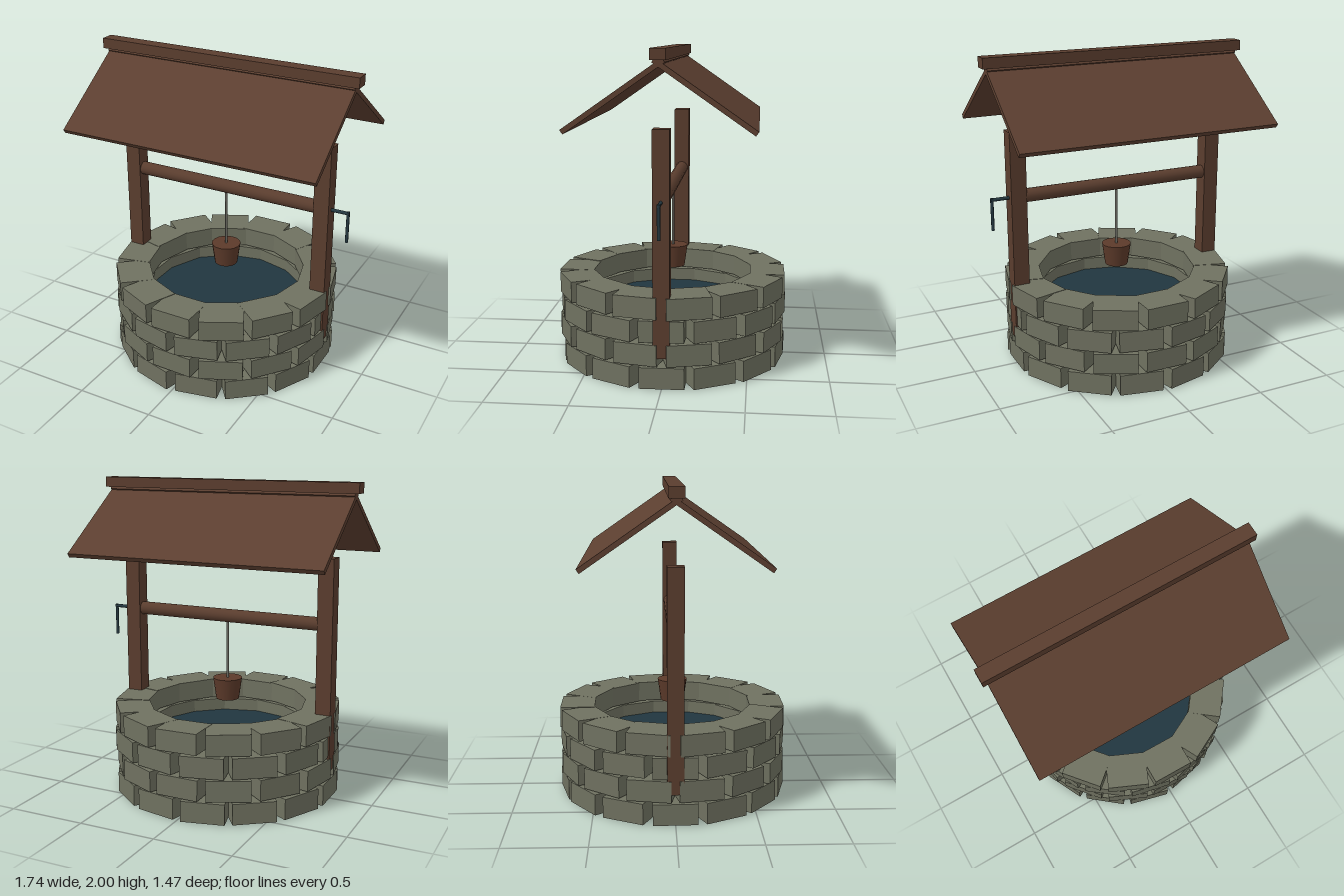
import * as THREE from 'three';

const material = (name, color) => Object.assign(new THREE.MeshStandardMaterial({ color }), { name });

// Small seeded generator, returns values in -1..1
function seeded(seed) {
  return () => {
    seed = (seed * 16807) % 2147483647;
    return (seed / 2147483647) * 2 - 1;
  };
}

export function createModel() {
  const model = new THREE.Group();
  model.name = 'wishingWell';

  const stone = material('stone', 0x6f7160);
  stone.flatShading = true;
  const wood = material('wood', 0x5a3d2e);
  const roofWood = material('roofWood', 0x5c3f30);
  const bucketWood = material('bucketWood', 0x5c3a2a);
  const water = material('water', 0x21363f);
  const iron = material('iron', 0x243840);
  const ropeFibre = material('rope', 0x6c6a62);

  const add = (name, geometry, mat, x = 0, y = 0, z = 0, parent = model) => {
    const mesh = new THREE.Mesh(geometry, mat);
    mesh.name = name;
    mesh.position.set(x, y, z);
    parent.add(mesh);
    return mesh;
  };

  // Ring wall: four staggered courses of slightly uneven blocks
  const wall = new THREE.Group();
  wall.name = 'stoneWall';
  model.add(wall);
  const rand = seeded(4217);
  const perRow = 14, step = (Math.PI * 2) / perRow;
  const block = new THREE.BoxGeometry(0.272, 0.132, 0.22);
  for (let row = 0; row < 4; row++) {
    for (let i = 0; i < perRow; i++) {
      const angle = (i + (row % 2 ? 0 : 0.5)) * step;
      const radius = 0.61 + rand() * 0.006;
      const mesh = add('stoneBlock', block, stone,
        Math.sin(angle) * radius, 0.07 + row * 0.1433, Math.cos(angle) * radius, wall);
      mesh.rotation.order = 'YXZ';
      mesh.rotation.set(rand() * 0.012, angle + rand() * 0.035, rand() * 0.015);
    }
  }

  // Water inside the shaft
  add('water', new THREE.CylinderGeometry(0.52, 0.52, 0.14, 32), water, 0, 0.27, 0);

  // Posts and roof slabs, mirrored
  const post = new THREE.BoxGeometry(0.1, 1.35, 0.1);
  const slope = Math.atan2(0.375, 0.54);
  const slab = new THREE.BoxGeometry(1.68, 0.03, 0.695);
  for (const side of [1, -1]) {
    add(side > 0 ? 'leftPost' : 'rightPost', post, wood, side * 0.678, 0.872, 0);
    const roof = add(side > 0 ? 'frontRoof' : 'backRoof', slab, roofWood, 0, 1.737, side * 0.257);
    roof.rotation.x = side * slope;
  }
  add('ridgeBeam', new THREE.BoxGeometry(1.74, 0.065, 0.09), wood, 0, 1.9675, 0);

  // Winding axle
  const axle = add('axle', new THREE.CylinderGeometry(0.043, 0.043, 1.3, 16), wood, 0, 1.132, 0);
  axle.rotation.z = Math.PI / 2;

  // Crank handle on the left post
  const crank = new THREE.Group();
  crank.name = 'crank';
  model.add(crank);
  const arm = add('crankArm', new THREE.CylinderGeometry(0.011, 0.011, 0.16, 10), iron, 0.765, 1.13, 0, crank);
  arm.rotation.z = Math.PI / 2;
  add('crankHandle', new THREE.CylinderGeometry(0.01, 0.01, 0.206, 10), iron, 0.837, 1.038, 0, crank);

  // Rope and bucket
  add('rope', new THREE.CylinderGeometry(0.008, 0.008, 0.41, 8), ropeFibre, 0, 0.905, 0);
  add('bucket', new THREE.CylinderGeometry(0.095, 0.075, 0.14, 18), bucketWood, 0, 0.65, 0);

  return model;
}
